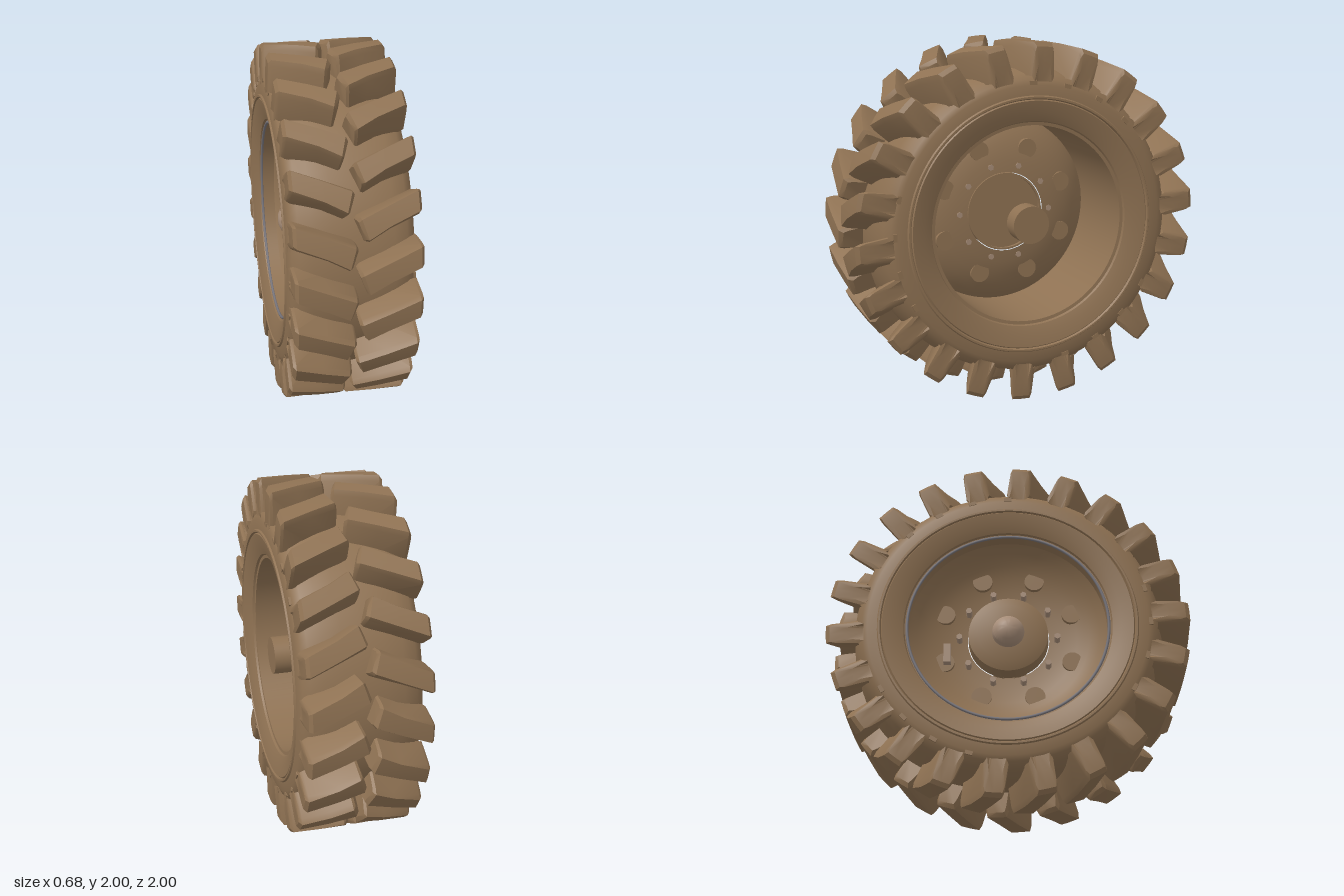
import * as THREE from 'three';
import { toCreasedNormals } from 'three/addons/utils/BufferGeometryUtils.js';

const material = (name, color) => {
  const m = new THREE.MeshStandardMaterial({ color, side: THREE.DoubleSide });
  m.name = name;
  return m;
};

// Lathe around the axle: points are [radius, x]
function turned(points, segments = 96) {
  const g = new THREE.LatheGeometry(points.map(([r, x]) => new THREE.Vector2(r, x)), segments);
  g.rotateZ(-Math.PI / 2);
  return toCreasedNormals(g, 0.5);
}

// One slanted tread lug, lofted from cross-sections from the centre line to the shoulder
function lugGeometry(side) {
  // [x, half width scale, top radius]
  const sections = [[0.0, 0.85, 0.975], [0.014, 1, 0.998], [0.16, 1, 1], [0.312, 1, 0.998], [0.328, 0.9, 0.975], [0.333, 0.72, 0.88], [0.322, 0.5, 0.795]];
  const rings = sections.map(([x, w, top], k) => {
    const base = k > 4 ? 0.79 : 0.82;
    const loop = [[-0.088, base], [-0.064, top - 0.03], [-0.052, top], [0, top], [0.052, top], [0.064, top - 0.03], [0.088, base]];
    return loop.map(([t, r]) => {
      const a = t * w + 0.42 * (x - 0.165);
      const skew = k < 2 ? Math.max(0, 0.02 - t * 0.3) : 0;
      return [side * (x + skew), Math.max(r, base) * Math.sin(a), Math.max(r, base) * Math.cos(a)];
    });
  });
  const out = [];
  const tri = (a, b, c) => out.push(...a, ...(side > 0 ? b : c), ...(side > 0 ? c : b));
  const n = rings[0].length;
  for (let k = 0; k < rings.length - 1; k++) {
    for (let j = 0; j < n - 1; j++) {
      const [a, b, c, d] = [rings[k][j], rings[k][j + 1], rings[k + 1][j], rings[k + 1][j + 1]];
      tri(a, c, b);
      tri(b, c, d);
    }
  }
  const last = rings[rings.length - 1];
  for (let i = 1; i < n - 1; i++) {
    tri(rings[0][0], rings[0][i], rings[0][i + 1]);
    tri(last[0], last[i + 1], last[i]);
  }
  const g = new THREE.BufferGeometry();
  g.setAttribute('position', new THREE.Float32BufferAttribute(out, 3));
  g.computeVertexNormals();
  return toCreasedNormals(g, 0.55);
}

export function createModel() {
  const brown = material('earthBrown', 0x8f7253);
  const pale = material('paleMetal', 0xa78d78);
  const grey = material('rimGrey', 0x77747a);

  const model = new THREE.Group();
  model.name = 'tractorWheel';
  const wheel = new THREE.Group();
  wheel.name = 'wheel';
  wheel.position.y = 1;
  model.add(wheel);

  const add = (name, geometry, mat, parent = wheel) => {
    const mesh = new THREE.Mesh(geometry, mat);
    mesh.name = name;
    parent.add(mesh);
    return mesh;
  };
  // Cylinder along x between two positions
  const xCylinder = (r, x0, x1, sides) =>
    new THREE.CylinderGeometry(r, r, x1 - x0, sides).rotateZ(-Math.PI / 2).translate((x0 + x1) / 2, 0, 0);

  // Tyre body with bead rings and the rim barrel, as one closed profile
  const half = [[0.55, 0.29], [0.568, 0.292], [0.574, 0.304], [0.62, 0.324], [0.688, 0.338], [0.694, 0.331],
    [0.7, 0.342], [0.71, 0.342], [0.716, 0.333], [0.77, 0.328], [0.8, 0.315], [0.83, 0.28], [0.85, 0.21], [0.862, 0.11]];
  const left = half.map(([r, x]) => [r, -x]);
  add('tyreBody', turned([...left, [0.865, 0], ...[...half].reverse(), left[0]]), brown);

  // Tread lugs, staggered by half a step between the two sides
  const count = 22, step = (Math.PI * 2) / count;
  for (const side of [1, -1]) {
    const tread = new THREE.Group();
    tread.name = side > 0 ? 'leftTread' : 'rightTread';
    wheel.add(tread);
    const lug = lugGeometry(side);
    for (let i = 0; i < count; i++) {
      add('lug', lug, brown, tread).rotation.x = -(i + (side > 0 ? 0.5 : 0)) * step;
    }
    // Wear marks: three groups of four on the sidewall
    const mark = new THREE.BoxGeometry(0.02, 0.022, 0.042).translate(side * 0.321, 0.782, 0);
    for (let g = 0; g < 3; g++) {
      for (let i = 0; i < 4; i++) {
        add('sidewallMark', mark, brown, tread).rotation.x = -THREE.MathUtils.degToRad(g * 120 + i * 15);
      }
    }
  }

  // Dished wheel disc
  add('wheelDisc', turned([[0.55, -0.22], [0.51, -0.178], [0.45, -0.138], [0.386, -0.11], [0.3, -0.088], [0.23, -0.08]]), brown);

  // Round pads on the disc
  const pad = xCylinder(0.056, -0.125, -0.1, 20).translate(0, 0.386, 0);
  for (let i = 0; i < 8; i++) add('discPad', pad, brown).rotation.x = (i + 0.5) * Math.PI / 4;

  // Rim edge ring
  add('rimEdge', new THREE.TorusGeometry(0.555, 0.008, 8, 96).rotateY(Math.PI / 2).translate(-0.292, 0, 0), grey);

  // Hub, dome cap and axle stub
  add('hub', turned([[0, -0.195], [0.17, -0.195], [0.222, -0.175], [0.226, -0.08], [0.215, -0.08], [0.215, -0.1], [0, -0.1]], 48), brown);
  add('hubCap', turned([[0, -0.275], [0.035, -0.27], [0.065, -0.255], [0.085, -0.23], [0.09, -0.205], [0.09, -0.19]], 32), pale);
  add('axleStub', xCylinder(0.105, 0.21, 0.31, 40), brown);

  // Wheel bolts around the hub
  const bolt = xCylinder(0.018, -0.15, -0.08, 6).translate(0, 0.275, 0);
  for (let i = 0; i < 10; i++) add('wheelBolt', bolt, pale).rotation.x = (i + 0.5) * Math.PI / 5;

  // Valve block
  add('valve', new THREE.BoxGeometry(0.05, 0.11, 0.04).translate(-0.15, -0.11, -0.34), pale);

  return model;
}
